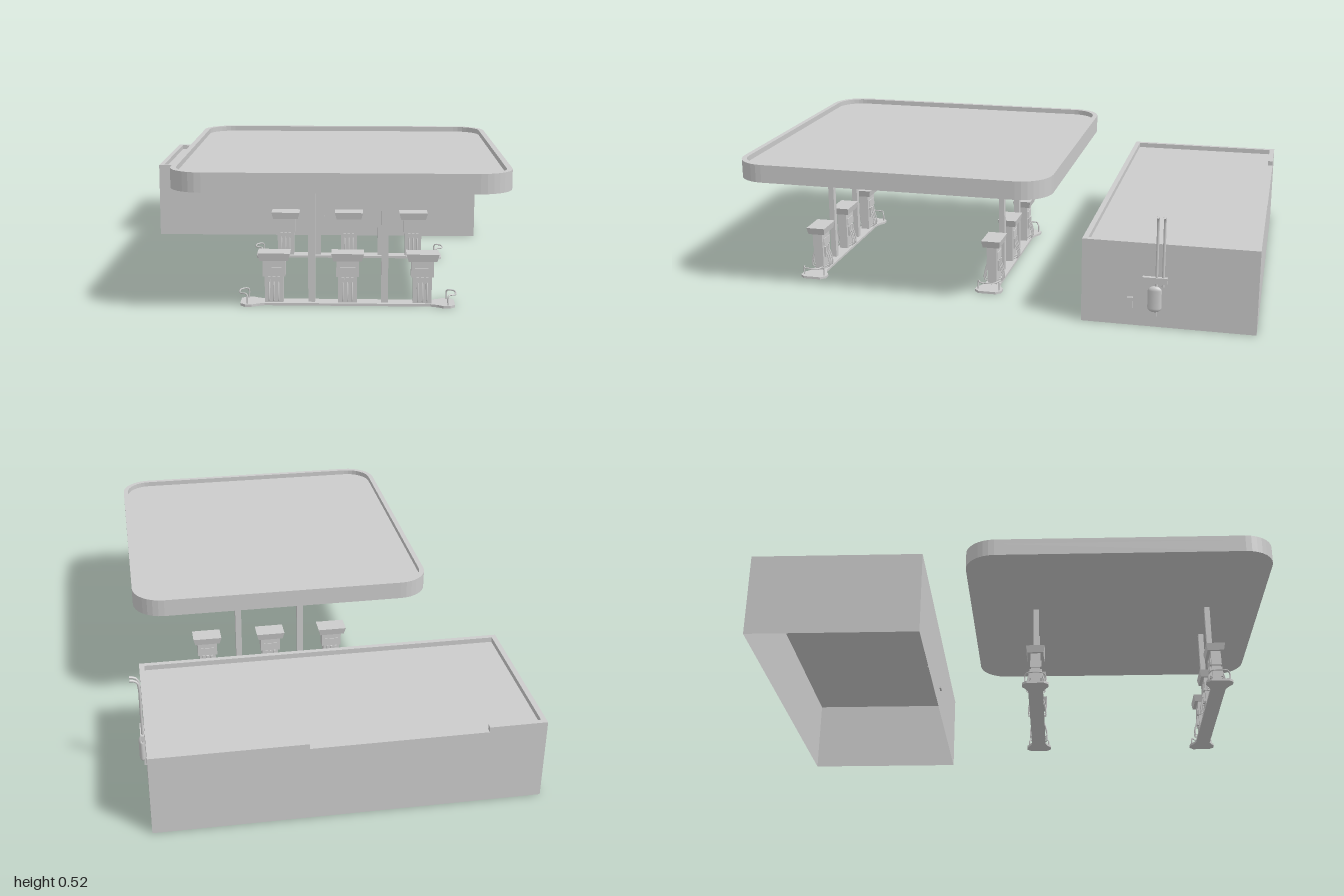
import * as THREE from 'three';

const grey = new THREE.MeshStandardMaterial({ color: 0xcccccc, flatShading: true });
const sheet = new THREE.MeshStandardMaterial({ color: 0xcccccc, side: THREE.DoubleSide });
const smooth = new THREE.MeshStandardMaterial({ color: 0xcccccc });

function add(parent, name, geometry, material = grey) {
  const mesh = new THREE.Mesh(geometry, material);
  mesh.name = name;
  parent.add(mesh);
  return mesh;
}

// Box given by its lower and upper limits on each axis
function box(parent, name, x0, x1, y0, y1, z0, z1) {
  const mesh = add(parent, name, new THREE.BoxGeometry(x1 - x0, y1 - y0, z1 - z0));
  mesh.position.set((x0 + x1) / 2, (y0 + y1) / 2, (z0 + z1) / 2);
  return mesh;
}

function tube(parent, name, points, radius, segments = 14, sides = 6) {
  const curve = new THREE.CatmullRomCurve3(points.map(p => new THREE.Vector3(...p)), false, 'centripetal');
  return add(parent, name, new THREE.TubeGeometry(curve, segments, radius, sides), smooth);
}

function roundedRect(w, d, r) {
  const x = w / 2, y = d / 2, s = new THREE.Shape();
  s.moveTo(-x + r, -y);
  s.lineTo(x - r, -y).absarc(x - r, -y + r, r, -Math.PI / 2, 0);
  s.lineTo(x, y - r).absarc(x - r, y - r, r, 0, Math.PI / 2);
  s.lineTo(-x + r, y).absarc(-x + r, y - r, r, Math.PI / 2, Math.PI);
  s.lineTo(-x, -y + r).absarc(-x + r, -y + r, r, Math.PI, Math.PI * 1.5);
  return s;
}

// Extrude a plan shape upwards by a height
function slab(shape, height, curveSegments = 4) {
  const g = new THREE.ExtrudeGeometry(shape, { depth: height, bevelEnabled: false, curveSegments });
  return g.rotateX(-Math.PI / 2);
}

function makeCanopy() {
  const g = new THREE.Group();
  g.name = 'canopy';
  const w = 1.19, d = 1.23, r = 0.12, lip = 0.02;
  add(g, 'canopyDeck', slab(roundedRect(w, d, r), 0.05)).position.y = 0.45;
  const ring = roundedRect(w, d, r);
  ring.holes.push(roundedRect(w - 2 * lip, d - 2 * lip, r - lip));
  add(g, 'canopyRim', slab(ring, 0.02)).position.y = 0.5;
  g.position.set(0.105, 0, 0.385);
  return g;
}

function makePump() {
  const g = new THREE.Group();
  g.name = 'fuelPump';
  box(g, 'pumpBody', -0.034, 0.034, 0.008, 0.115, -0.018, 0.018);
  box(g, 'pumpUpperBody', -0.041, 0.041, 0.105, 0.168, -0.02, 0.02);
  // Flared head: a box whose lower corners are pulled in
  const head = new THREE.BoxGeometry(0.118, 0.028, 0.076), p = head.attributes.position;
  for (let i = 0; i < p.count; i++) {
    if (p.getY(i) < 0) p.setXYZ(i, p.getX(i) * 0.87, p.getY(i), p.getZ(i) * 0.87);
  }
  add(g, 'pumpHead', head).position.y = 0.18;
  for (const s of [-1, 1]) {
    const face = new THREE.Group();
    face.name = 'pumpFace';
    box(face, 'display', -0.028, 0.028, 0.112, 0.14, 0.019, 0.023);
    for (const x of [-0.017, 0, 0.017]) {
      box(face, 'nozzle', x - 0.005, x + 0.005, 0.062, 0.105, 0.016, 0.026);
      tube(face, 'hose', [[x, 0.092, 0.022], [x, 0.07, 0.03], [x, 0.035, 0.037],
        [x, 0.017, 0.033], [x, 0.02, 0.018]], 0.0028, 10, 5);
    }
    if (s < 0) face.rotation.y = Math.PI;
    g.add(face);
  }
  return g;
}

function makeIsland() {
  const g = new THREE.Group();
  g.name = 'pumpIsland';
  // Narrow kerb with wider rounded ends
  const half = [[0.3, 0.03], [0.325, 0.04], [0.345, 0.053], [0.37, 0.053], [0.388, 0.035]];
  const right = [...half, ...half.map(([x, z]) => [x, -z]).reverse()];
  const outline = [...right, ...right.map(([x, z]) => [-x, -z])];
  const kerb = new THREE.Shape(outline.map(([x, z]) => new THREE.Vector2(x, z)));
  add(g, 'kerb', slab(kerb, 0.009)).position.x = 0.13;
  for (const x of [-0.136, 0.13, 0.4]) {
    const pump = makePump();
    pump.position.x = x;
    g.add(pump);
  }
  for (const x of [0, 0.264]) box(g, 'canopyColumn', x - 0.0125, x + 0.0125, 0, 0.451, -0.011, 0.011);
  // Hoop guards at both ends
  for (const s of [-1, 1]) {
    const x = 0.13 + s * 0.387;
    tube(g, 'guardRail', [[x - s * 0.025, 0.005, -0.042], [x - s * 0.025, 0.04, -0.042],
      [x - s * 0.02, 0.045, -0.038], [x, 0.045, -0.028], [x, 0.045, 0.028],
      [x - s * 0.02, 0.045, 0.038], [x - s * 0.025, 0.04, 0.042], [x - s * 0.025, 0.005, 0.042]], 0.003, 28);
  }
  return g;
}

function makeBuilding() {
  const g = new THREE.Group();
  g.name = 'shop';
  const x0 = -0.735, x1 = 0.695, z0 = -1, z1 = -0.36, roof = 0.3, top = 0.32, t = 0.02;
  const cx = (x0 + x1) / 2, cz = (z0 + z1) / 2;
  // Thin shell, open underneath
  const wall = (name, w, x, z, turn) => {
    const m = add(g, name, new THREE.PlaneGeometry(w, roof), sheet);
    m.position.set(x, roof / 2, z);
    m.rotation.y = turn;
  };
  wall('frontWall', x1 - x0, cx, z1, 0);
  wall('backWall', x1 - x0, cx, z0, Math.PI);
  wall('leftWall', z1 - z0, x1, cz, Math.PI / 2);
  wall('rightWall', z1 - z0, x0, cz, -Math.PI / 2);
  const deck = add(g, 'roof', new THREE.PlaneGeometry(x1 - x0, z1 - z0).rotateX(-Math.PI / 2), sheet);
  deck.position.set(cx, roof, cz);
  // Parapet with a gap at the back
  box(g, 'parapetFront', x0, x1, roof, top, z1 - t, z1);
  box(g, 'parapetLeft', x1 - t, x1, roof, top, z0, z1 - t);
  box(g, 'parapetRight', x0, x0 + t, roof, top, z0, z1 - t);
  box(g, 'parapetBack', x0 + t, -0.52, roof, top, z0, z0 + t);
  box(g, 'parapetBack', 0.13, x1 - t, roof, top, z0, z0 + t);
  // Thin frames on the inside of the front wall
  for (const [a, b, y, h] of [[0.195, 0.254, 0.07, 0.1], [0.085, 0.153, 0.065, 0.1],
    [-0.14, -0.067, 0.045, 0.11], [-0.4, -0.21, 0.01, 0.14]]) {
    box(g, 'innerSill', a, b, y, y + 0.004, z1 - 0.006, z1 - 0.001);
    box(g, 'innerJamb', b - 0.004, b, y, y + h, z1 - 0.006, z1 - 0.001);
  }
  box(g, 'doorHandle', -0.015, 0.015, 0.087, 0.094, z1, z1 + 0.007);
  return g;
}

function makeMeter() {
  const g = new THREE.Group();
  g.name = 'serviceMeter';
  const x = 0.695;
  const body = add(g, 'meterBody', new THREE.CapsuleGeometry(0.016, 0.068, 4, 12), smooth);
  body.scale.set(0.75, 1, 1.6);
  body.position.set(x + 0.012, 0.112, -0.631);
  box(g, 'meterFoot', x, x + 0.008, 0.04, 0.075, -0.64, -0.622);
  box(g, 'meterBracket', x, x + 0.016, 0.172, 0.195, -0.675, -0.585);
  for (const z of [-0.636, -0.66]) {
    tube(g, 'serviceMast', [[x + 0.007, 0.16, z], [x + 0.007, 0.28, z], [x + 0.007, 0.395, z],
      [x + 0.011, 0.417, z], [x + 0.022, 0.427, z], [x + 0.04, 0.43, z]], 0.005, 24, 8);
  }
  box(g, 'outletBox', x, x + 0.01, 0.068, 0.11, -0.552, -0.53);
  return g;
}

export function createModel() {
  const model = new THREE.Group();
  model.name = 'fuelStation';
  model.add(makeCanopy(), makeBuilding(), makeMeter());
  for (const z of [0.775, 0.045]) {
    const island = makeIsland();
    island.position.z = z;
    model.add(island);
  }
  return model;
}
